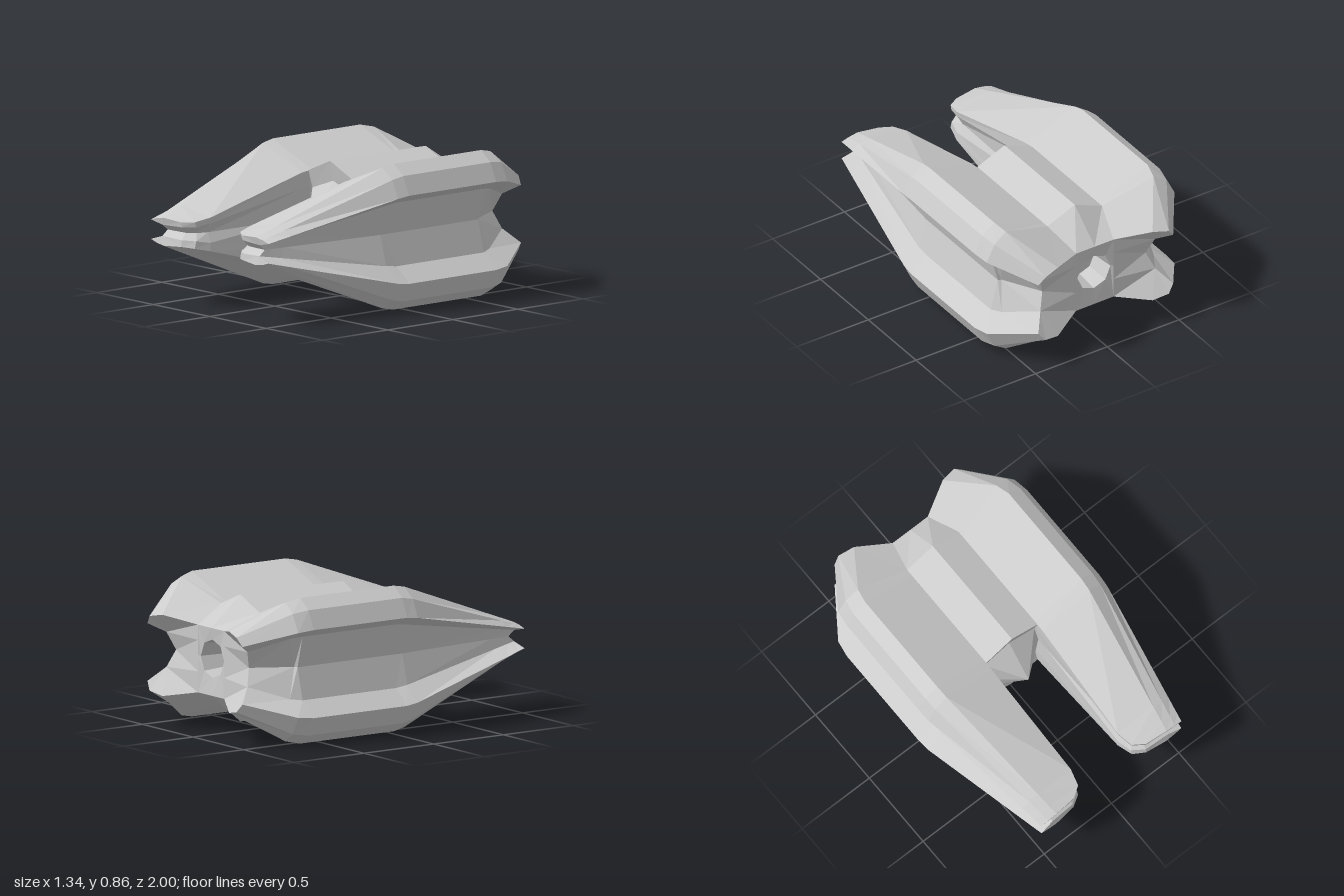
import * as THREE from 'three';

const MID = 0.447; // height of the side grooves

// Skins a list of equal-length loops (front to back, counter-clockwise from the front).
function loft(loops, caps = [], flip = 1) {
  const pos = [];
  const tri = (a, b, c) => {
    for (const p of flip > 0 ? [a, b, c] : [a, c, b]) pos.push(p[0] * flip, p[1], p[2]);
  };
  for (let i = 0; i < loops.length - 1; i++) {
    const f = loops[i], b = loops[i + 1], n = f.length;
    for (let j = 0; j < n; j++) {
      const k = (j + 1) % n;
      tri(f[j], b[j], f[k]);
      tri(f[k], b[j], b[k]);
    }
  }
  // end caps, each polygon drawn as a fan
  const first = loops[0], last = loops[loops.length - 1];
  for (const poly of caps) {
    for (let i = 1; i < poly.length - 1; i++) {
      tri(first[poly[0]], first[poly[i]], first[poly[i + 1]]);
      tri(last[poly[0]], last[poly[i + 1]], last[poly[i]]);
    }
  }
  const g = new THREE.BufferGeometry();
  g.setAttribute('position', new THREE.Float32BufferAttribute(pos, 3));
  g.computeVertexNormals();
  return g;
}

// Upper half of a pod section: outer groove, groove lip, side, shoulder, ridge,
// inner top, inner lip, inner groove. The lower half mirrors it.
function podLoop(half, centre) {
  const lower = half.slice(1, 7).reverse().map(([x, y, z], i) => {
    const c = i === 0 || i === 5 ? MID : centre; // lips mirror about the groove
    return [x, 2 * c - y, z];
  });
  return [...half, ...lower];
}

const lerpHalf = (a, b, t) => a.map((p, i) => p.map((v, k) => v + (b[i][k] - v) * t));

function podLoops() {
  const at = (pts, z) => pts.map(([x, y]) => [x, y, z]);
  const tip = [[0.43, MID, 0.95], [0.43, 0.48, 0.99], [0.52, 0.5, 1], [0.47, 0.515, 1],
    [0.41, 0.525, 1], [0.27, 0.515, 0.985], [0.27, 0.485, 0.98], [0.28, MID, 0.94]];
  const shoulder = at([[0.51, MID], [0.56, 0.625], [0.665, 0.68], [0.615, 0.785],
    [0.53, 0.845], [0.19, 0.715], [0.19, 0.62], [0.2, MID]], 0.13);
  const full = [[0.51, MID], [0.56, 0.635], [0.67, 0.69], [0.62, 0.8],
    [0.535, 0.86], [0.19, 0.725], [0.19, 0.63], [0.2, MID]];
  const hip = [[0.49, MID, -0.63], [0.53, 0.625, -0.69], [0.655, 0.68, -0.72], [0.6, 0.785, -0.72],
    [0.515, 0.84, -0.71], [0.19, 0.725, -0.66], [0.19, 0.63, -0.66], [0.2, MID, -0.66]];
  const rear = [[0.36, MID, -0.86], [0.4, 0.55, -0.9], [0.47, 0.6, -0.985], [0.43, 0.65, -1],
    [0.33, 0.67, -0.98], [0.13, 0.63, -0.87], [0.13, 0.54, -0.87], [0.13, MID, -0.87]];
  // rounded inner corner of the prong
  const corner = lerpHalf(tip, shoulder, 0.06);
  corner.splice(5, 3, [0.2, 0.52, 0.94], [0.2, 0.488, 0.93], [0.23, MID, 0.9]);
  const inner = lerpHalf(tip, shoulder, 0.17);
  inner.splice(5, 3, [0.175, 0.54, 0.84], [0.18, 0.505, 0.84], [0.21, MID, 0.83]);
  return [
    podLoop(tip, 0.4425), podLoop(corner, 0.4415), podLoop(inner, 0.44), podLoop(shoulder, 0.43),
    podLoop(at(full, 0.05), 0.43), podLoop(at(full, -0.62), 0.43),
    podLoop(hip, 0.43), podLoop(rear, 0.43),
  ];
}

// Eight-sided body section: side corner, upper corner and top ridge, mirrored.
function bodyLoop(xSide, xTop, yTop, yRidge, centre, z, zSide = z) {
  const m = 2 * centre;
  return [
    [xSide, MID, zSide], [xTop, yTop, z], [0, yRidge, z], [-xTop, yTop, z],
    [-xSide, MID, zSide], [-xTop, m - yTop, z], [0, m - yRidge, z], [xTop, m - yTop, z],
  ];
}

export function createModel() {
  const group = new THREE.Group();
  const material = new THREE.MeshStandardMaterial({ color: 0xcccccc, flatShading: true });
  const add = (name, geometry) => {
    const mesh = new THREE.Mesh(geometry, material);
    mesh.name = name;
    group.add(mesh);
  };

  // side pods with split front prongs
  const caps = [[0, 1, 6, 7], [1, 2, 3, 4, 5, 6], [0, 7, 8, 13], [13, 8, 9, 10, 11, 12]];
  add('leftPod', loft(podLoops(), caps, 1));
  add('rightPod', loft(podLoops(), caps, -1));

  // central body: pointed nose, front rim, hull, tapered tail and rear exhaust recess
  add('body', loft([
    bodyLoop(0, 0, MID, MID, MID, 0.23),
    bodyLoop(0.2, 0.185, 0.62, 0.685, 0.45, 0.05, 0.07),
    bodyLoop(0.2, 0.19, 0.725, 0.805, 0.43, 0.075),
    bodyLoop(0.2, 0.19, 0.725, 0.805, 0.43, -0.66),
    bodyLoop(0.13, 0.13, 0.63, 0.63, 0.43, -0.87),
    bodyLoop(0.115, 0.08, 0.53, 0.56, MID, -0.86),
    bodyLoop(0.1, 0.07, 0.517, 0.545, MID, -0.71),
    bodyLoop(0, 0, MID, MID, MID, -0.71),
  ]));

  return group;
}
